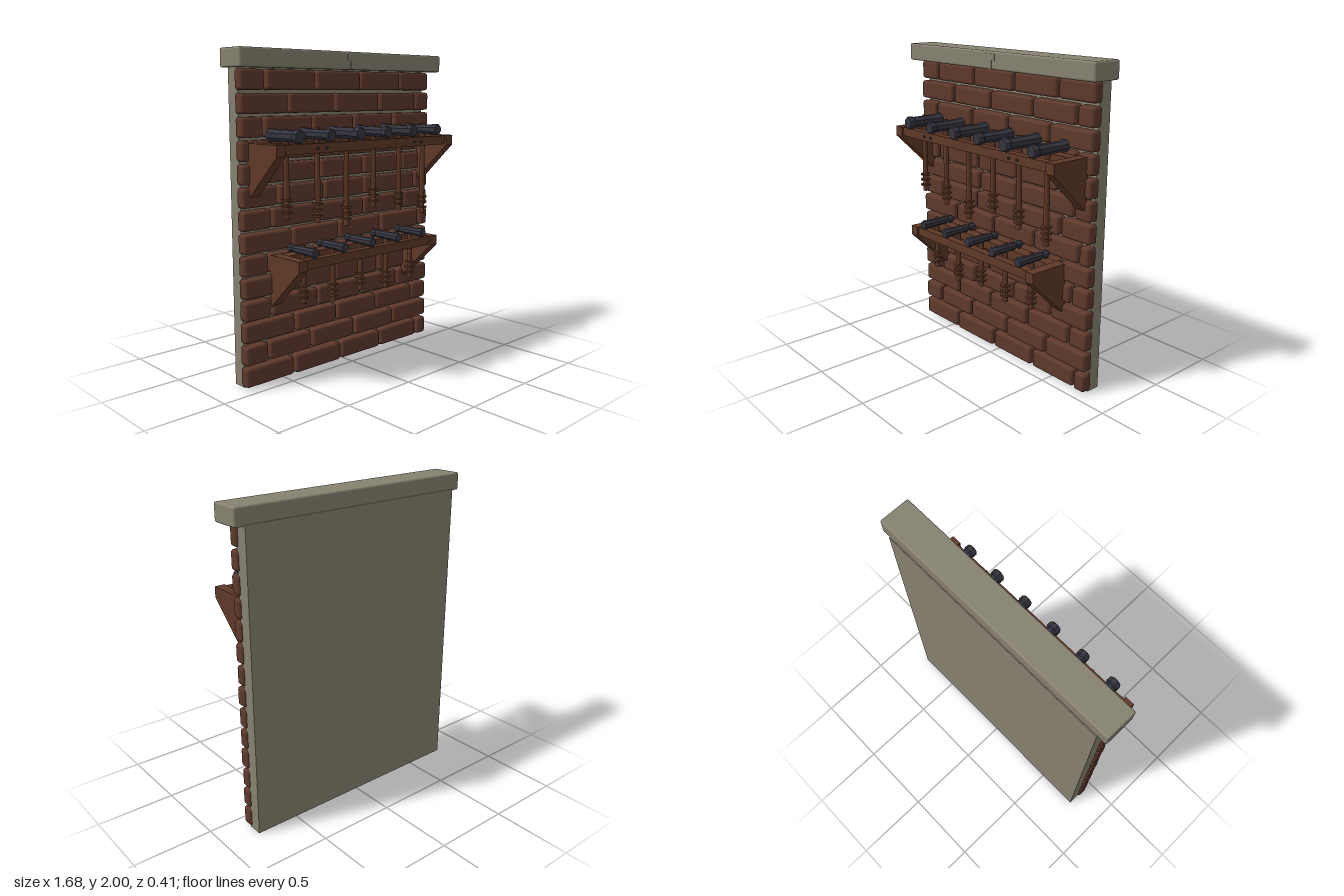
import * as THREE from 'three';
import { toCreasedNormals } from 'three/addons/utils/BufferGeometryUtils.js';
import { RoundedBoxGeometry } from 'three/addons/geometries/RoundedBoxGeometry.js';

const mat = (name, color) => {
  const m = new THREE.MeshStandardMaterial({ color });
  m.name = name;
  return m;
};

export function createModel() {
  const stone = mat('stone', 0x878271);
  const brick = mat('brick', 0x5e392c);
  const wood = mat('wood', 0x5f3928);
  const iron = mat('iron', 0x353540);
  const model = new THREE.Group();
  model.name = 'toolWall';

  const add = (parent, name, geometry, material, x = 0, y = 0, z = 0) => {
    const mesh = new THREE.Mesh(geometry, material);
    mesh.name = name;
    mesh.position.set(x, y, z);
    parent.add(mesh);
    return mesh;
  };
  // box given by its extents
  const box = (parent, name, material, x0, x1, y0, y1, z0, z1, r = 0) => {
    const s = [x1 - x0, y1 - y0, z1 - z0];
    const g = r ? new RoundedBoxGeometry(...s, 2, r) : new THREE.BoxGeometry(...s);
    return add(parent, name, g, material, (x0 + x1) / 2, (y0 + y1) / 2, (z0 + z1) / 2);
  };

  // Backing slab and coping
  box(model, 'backingWall', stone, -0.78, 0.78, 0, 1.9, -0.205, -0.115);
  box(model, 'coping', stone, -0.84, 0.84, 1.89, 2, -0.2, 0, 0.012);
  box(model, 'reliefHead', stone, -0.04, 0.04, 1.945, 1.985, -0.004, 0.004);
  box(model, 'reliefShaft', stone, -0.014, 0.014, 1.892, 1.945, -0.004, 0.004);

  // Brick courses from the bottom up, each given by its joints
  const joints = [
    [-0.43, -0.04, 0.33, 0.7],
    [-0.625, -0.285, 0.085, 0.45],
    [-0.415, -0.075, 0.285, 0.645],
    [-0.6, -0.235, 0.145, 0.49],
    [-0.45, -0.09, 0.3, 0.66],
    [-0.61, -0.25, 0.12, 0.555],
    [-0.435, -0.05, 0.33, 0.71],
    [-0.585, -0.215, 0.165, 0.555],
    [-0.54, -0.18, 0.17, 0.66],
    [-0.62, -0.205, 0.165, 0.53],
    [-0.45, -0.08, 0.27, 0.66],
    [-0.635, -0.265, 0.08, 0.445],
    [-0.45, -0.08, 0.305, 0.66],
    [-0.615, -0.24, 0.135, 0.505],
  ];
  const bricks = new THREE.Group();
  bricks.name = 'bricks';
  model.add(bricks);
  joints.forEach((row, i) => {
    const y = 0.07 + 0.135 * i;
    const edges = [-0.803, ...row, 0.8];
    for (let k = 0; k < edges.length - 1; k++) {
      const dz = 0.004 * Math.sin(i * 2.3 + k * 1.7);
      box(bricks, 'brick', brick, edges[k] + 0.009, edges[k + 1] - 0.009,
        y - 0.059, y + 0.059, -0.132, -0.06 + dz, 0.018);
    }
  });

  // Rack: two rails between a pair of triangular brackets
  const rack = (name, halfWidth, top) => {
    const g = new THREE.Group();
    g.name = name;
    model.add(g);
    const w = halfWidth - 0.005;
    box(g, 'frontRail', wood, -w, w, top - 0.06, top - 0.003, 0.13, 0.18);
    box(g, 'backRail', wood, -w, w, top - 0.06, top - 0.003, -0.065, 0.012);
    const side = new THREE.Shape([
      [0.075, 0], [-0.195, 0], [-0.195, -0.065], [0.065, -0.315], [0.075, -0.315],
    ].map(([a, b]) => new THREE.Vector2(a, b)));
    const geo = new THREE.ExtrudeGeometry(side, { depth: 0.065, bevelEnabled: false });
    geo.rotateY(Math.PI / 2);
    for (const x of [-halfWidth, halfWidth - 0.065]) add(g, 'bracket', geo, wood, x, top);
    return g;
  };
  const upper = rack('upperRack', 0.75, 1.467);
  rack('lowerRack', 0.603, 0.795);

  // Bolts in the upper front rail
  const bolt = new THREE.CylinderGeometry(0.008, 0.008, 0.016, 8).rotateX(Math.PI / 2);
  for (const x of [-0.445, -0.375, 0.375, 0.445]) add(upper, 'bolt', bolt, iron, x, 1.435, 0.182);

  // Turned iron heads, profiles as [radius, z]
  const turned = (pts) => {
    const g = new THREE.LatheGeometry(pts.map(([r, z]) => new THREE.Vector2(r, z)), 8, Math.PI / 8);
    return toCreasedNormals(g.rotateX(Math.PI / 2), 0.5);
  };
  const bigHead = turned([[0, -0.072], [0.034, -0.072], [0.041, -0.064], [0.041, -0.03],
    [0.036, -0.02], [0.036, 0.165], [0.042, 0.172], [0.042, 0.2], [0.036, 0.208], [0, 0.208]]);
  const smallHead = turned([[0, -0.066], [0.017, -0.06], [0.026, -0.045], [0.026, -0.027],
    [0.017, -0.012], [0.025, 0.005], [0.027, 0.155], [0.031, 0.162], [0.031, 0.185],
    [0.027, 0.192], [0, 0.192]]);

  // Hammer: head resting on the rails, handle hanging between them, ringed grip
  const ring = new THREE.CylinderGeometry(0.033, 0.033, 0.011, 10);
  const hammer = (x, headY, end, head, scale, ringStep, nub) => {
    const g = new THREE.Group();
    g.name = 'hammer';
    g.position.set(x, 0, 0.075);
    model.add(g);
    add(g, 'head', head, iron, 0, headY, -0.075).scale.set(scale, scale, 1);
    const len = headY - end;
    add(g, 'handle', new THREE.CylinderGeometry(0.016, 0.018, len, 10), wood, 0, end + len / 2);
    add(g, 'handleTip', new THREE.CylinderGeometry(0.012, 0.012, nub, 8), wood, 0, headY + nub / 2);
    for (let i = 0; i < 3; i++) add(g, 'gripRing', ring, wood, 0, end + 0.042 + ringStep * i);
  };
  [-0.59, -0.355, -0.12, 0.115, 0.35, 0.582].forEach((x, i) =>
    hammer(x, 1.508, 1.026 - 0.045 * (i % 3), bigHead, i % 2 ? 0.92 : 1, 0.036, 0.042));
  [-0.47, -0.237, 0, 0.233, 0.467].forEach((x, i) =>
    hammer(x, 0.826, 0.503 - 0.03 * (i % 2), smallHead, 1, 0.034, 0.036));

  return model;
}
